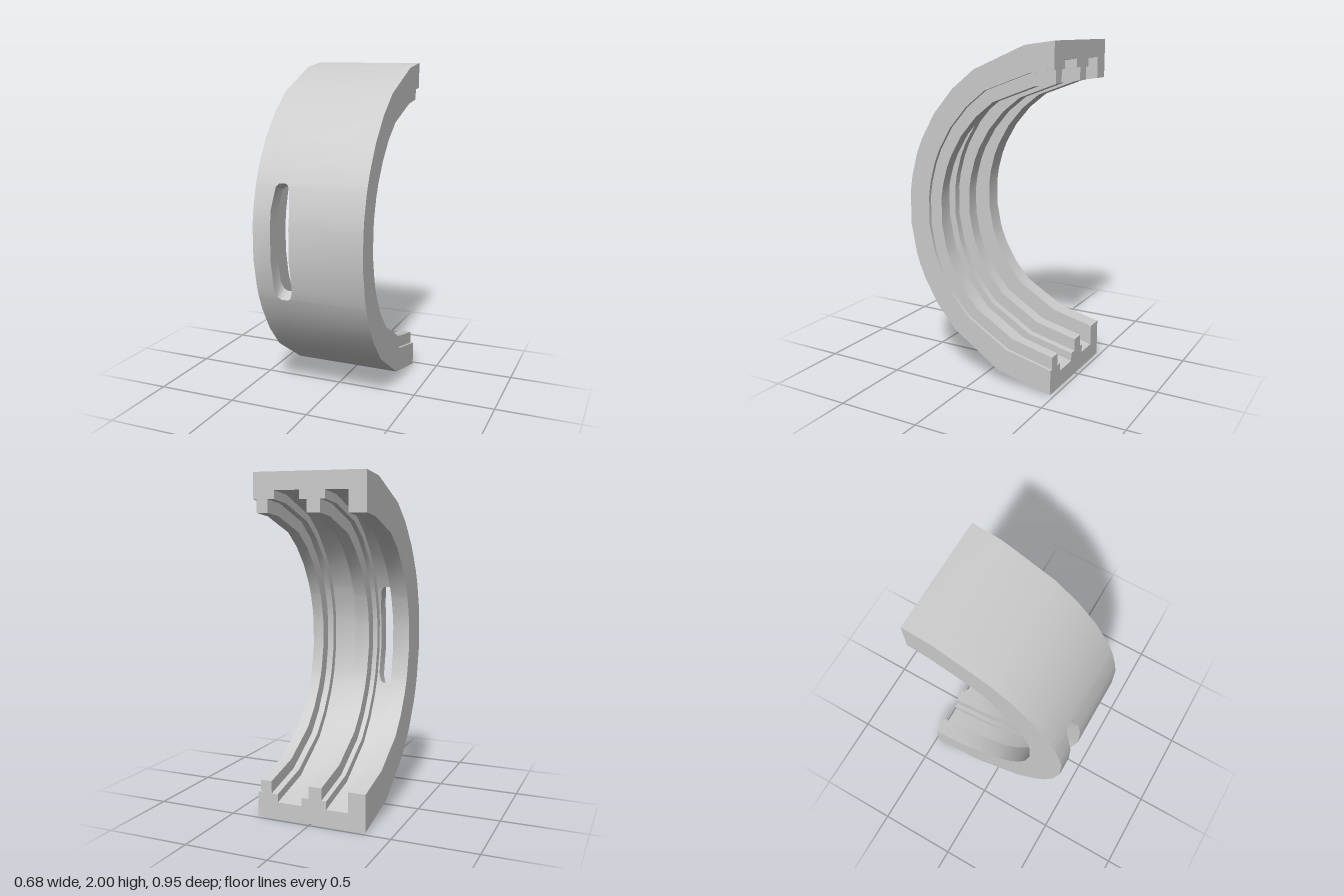
import * as THREE from 'three';
import { toCreasedNormals } from 'three/addons/utils/BufferGeometryUtils.js';

const AXIS_Y = 1, AXIS_Z = -0.52, CUT = 0.045; // ring axis runs along x; CUT = axis to the flat ends
const SLOT_X = -0.17;

// Rows around the arc, top to bottom: [angle in degrees, half width of the slot]
const ROWS = [
  [90, 0.058], [77, 0.058], [57, 0.058], [46.6, 0.058], [35.6, 0.058], [25.5, 0.058],
  [20.2, 0.022], [19, 0.041], [11.5, 0.058], [5.7, 0.058], [-5.7, 0.058], [-16, 0.058],
  [-19.2, 0.042], [-20.1, 0.022],
  [-25.5, 0.058], [-35.6, 0.058], [-46.3, 0.058], [-67, 0.058], [-90, 0.058],
];
const SLOT_START = 6, SLOT_END = 13;

// Closed cross-section of the band: outer skin, then ribs, ledges and grooves
function section(half, nearEnd) {
  const outer = nearEnd ? 1.001 : 1;
  const [rib, ledge, floor] = nearEnd ? [0.777, 0.851, 0.9] : [0.79, 0.866, 0.91];
  const a = SLOT_X + half, b = SLOT_X - half;
  return [
    [0.34, outer], [a, outer], [b, outer], [-0.34, outer],
    [-0.34, rib], [-0.235, rib],
    [-0.235, floor], [b, floor], [a, floor], [-0.1, floor],
    [-0.1, ledge], [-0.07, ledge], [-0.07, rib], [0.01, rib],
    [0.01, ledge], [0.055, ledge], [0.055, floor], [0.21, floor],
    [0.21, ledge], [0.25, ledge], [0.25, rib], [0.32, rib],
    [0.32, ledge], [0.34, ledge],
  ];
}

function bandGeometry() {
  const last = ROWS.length - 1;
  const sections = ROWS.map(([deg, half]) => section(half, Math.abs(deg) > 60));
  const n = sections[0].length;
  const positions = [];
  sections.forEach((points, i) => {
    for (const [x, r] of points) {
      // the two end rows lie on the flat cutting plane
      let angle = THREE.MathUtils.degToRad(ROWS[i][0]);
      if (i === 0) angle = Math.acos(CUT / r);
      if (i === last) angle = -Math.acos(CUT / r);
      positions.push(x, AXIS_Y + r * Math.sin(angle), AXIS_Z + r * Math.cos(angle));
    }
  });

  const index = [];
  const quad = (a, b, c, d) => index.push(a, b, c, a, c, d);
  const strip = (i, j, k) => quad(i * n + j, i * n + k, (i + 1) * n + k, (i + 1) * n + j);

  // Swept skin, leaving the slot open
  for (let i = 0; i < last; i++) {
    const open = i >= SLOT_START && i < SLOT_END;
    for (let j = 0; j < n; j++) {
      if (open && (j === 1 || j === 7)) continue;
      strip(i, j, (j + 1) % n);
    }
    // Side walls of the slot
    if (open) {
      strip(i, 1, 8);
      strip(i, 7, 2);
    }
  }

  // End walls of the slot
  const s = SLOT_START * n, e = SLOT_END * n;
  quad(s + 1, s + 2, s + 7, s + 8);
  quad(e + 8, e + 7, e + 2, e + 1);

  // Flat end faces
  const contour = sections[0].map(([x, r]) => new THREE.Vector2(x, r));
  for (const [a, b, c] of THREE.ShapeUtils.triangulateShape(contour, [])) {
    index.push(c, b, a);
    index.push(last * n + a, last * n + b, last * n + c);
  }

  const geometry = new THREE.BufferGeometry();
  geometry.setAttribute('position', new THREE.Float32BufferAttribute(positions, 3));
  geometry.setIndex(index);
  return toCreasedNormals(geometry, THREE.MathUtils.degToRad(35));
}

export function createModel() {
  const group = new THREE.Group();
  group.name = 'halfRing';
  const band = new THREE.Mesh(bandGeometry(), new THREE.MeshStandardMaterial({ color: 0xcccccc }));
  band.name = 'groovedHalfBand';
  group.add(band);
  return group;
}
